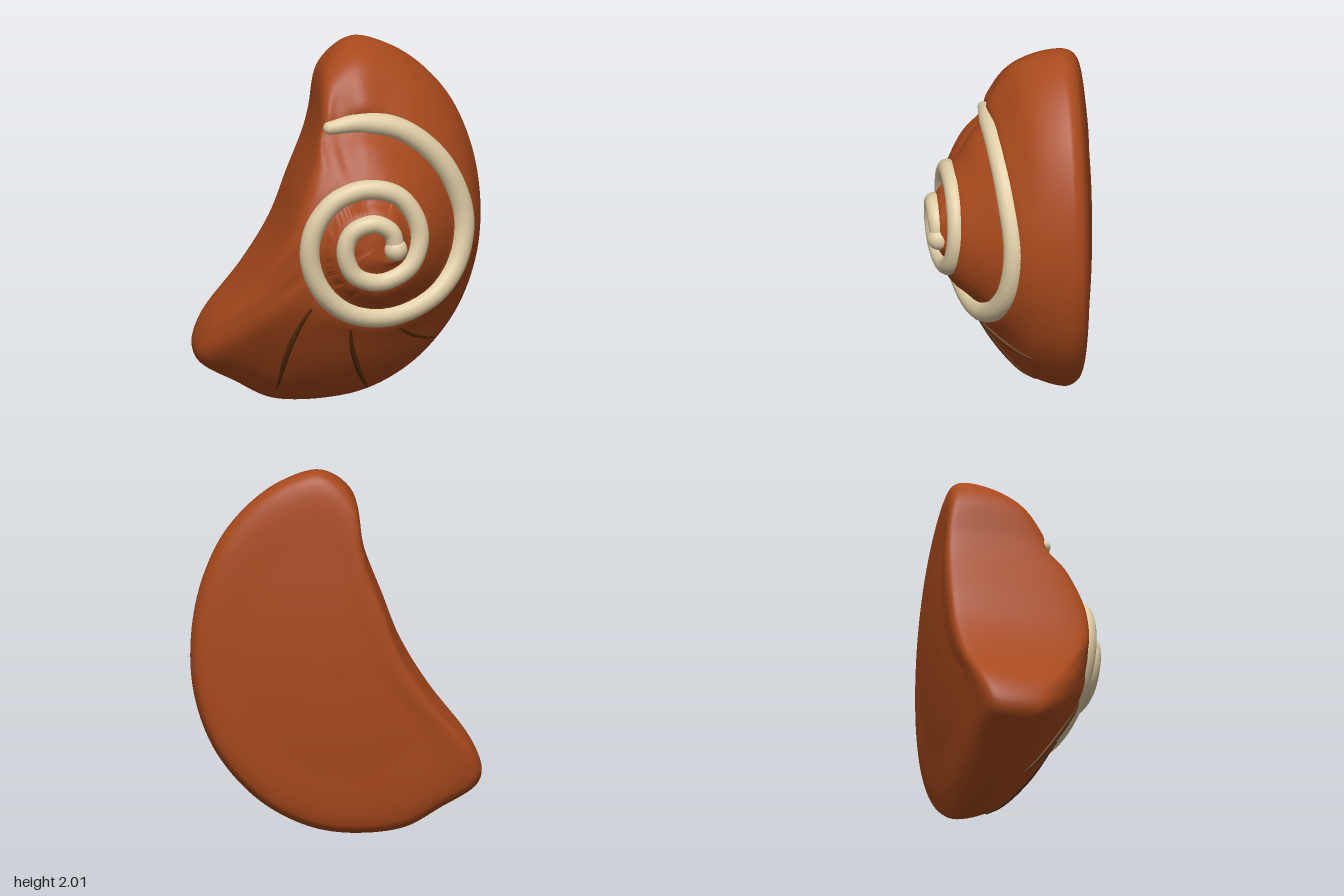
import * as THREE from 'three';
import { mergeVertices } from 'three/addons/utils/BufferGeometryUtils.js';

const V = (x, y, z) => new THREE.Vector3(x, y, z);
const mat = (name, color) => new THREE.MeshStandardMaterial({ name, color });

// Shell outline, clockwise from the top: x, y, then depth at 1/4, 1/2, 3/4, 0.92 of the way out and at the rim
const APEX = V(0.1, 0.98, 0.41);
const OUTLINE = [
  [0.07, 2.0, 0.335, 0.22, 0.1, -0.03, -0.22],
  [0.28, 1.95, 0.34, 0.21, 0.06, -0.07, -0.24],
  [0.47, 1.82, 0.345, 0.2, 0.05, -0.09, -0.26],
  [0.63, 1.62, 0.355, 0.2, 0.04, -0.1, -0.27],
  [0.74, 1.34, 0.365, 0.22, 0.04, -0.1, -0.28],
  [0.78, 1.03, 0.37, 0.24, 0.05, -0.1, -0.28],
  [0.75, 0.74, 0.37, 0.24, 0.05, -0.1, -0.28],
  [0.64, 0.46, 0.365, 0.23, 0.05, -0.1, -0.28],
  [0.44, 0.22, 0.355, 0.21, 0.05, -0.09, -0.27],
  [0.2, 0.07, 0.345, 0.2, 0.05, -0.09, -0.26],
  [-0.05, 0.01, 0.335, 0.2, 0.05, -0.1, -0.26],
  [-0.35, 0.03, 0.33, 0.21, 0.06, -0.08, -0.2],
  [-0.56, 0.14, 0.325, 0.235, 0.09, -0.04, -0.15],
  [-0.77, 0.28, 0.325, 0.255, 0.12, 0.0, -0.1],
  [-0.74, 0.47, 0.34, 0.28, 0.165, 0.05, -0.05],
  [-0.52, 0.74, 0.37, 0.32, 0.27, 0.2, 0.13],
  [-0.36, 0.99, 0.395, 0.36, 0.32, 0.3, 0.25],
  [-0.26, 1.25, 0.395, 0.355, 0.32, 0.29, 0.23],
  [-0.18, 1.46, 0.385, 0.33, 0.28, 0.24, 0.18],
  [-0.145, 1.6, 0.365, 0.31, 0.23, 0.15, 0.08],
  [-0.1, 1.85, 0.345, 0.24, 0.11, 0.05, -0.06],
];

// Gently domed back face
const backZ = (x, y) => -0.46 + 0.09 * (y - 1) ** 2 + 0.11 * (x + 0.2) ** 2;

// Raised spiral centreline, from the outer end to the centre
const SPIRAL = [
  [-0.1, 1.6, 0.115], [0.08, 1.62, 0.105], [0.3, 1.565, 0.085], [0.52, 1.37, 0.05], [0.64, 1.08, 0.02],
  [0.61, 0.84, 0.045], [0.5, 0.68, 0.1], [0.33, 0.585, 0.155], [0.15, 0.56, 0.2], [-0.03, 0.61, 0.245],
  [-0.17, 0.74, 0.285], [-0.237, 0.93, 0.31], [-0.21, 1.1, 0.32], [-0.1, 1.24, 0.32], [0.07, 1.3, 0.318],
  [0.24, 1.26, 0.31], [0.34, 1.13, 0.305], [0.36, 1.0, 0.31], [0.3, 0.865, 0.33], [0.14, 0.795, 0.355],
  [0.0, 0.84, 0.38], [-0.055, 0.97, 0.395], [-0.02, 1.08, 0.4], [0.1, 1.13, 0.405], [0.195, 1.08, 0.4], [0.22, 0.98, 0.39],
];
const spiralPath = new THREE.CatmullRomCurve3(SPIRAL.map(p => V(...p)));

// Draws the front surface to the spiral's depth, leaving rounded whorls between its turns
function seatSpiral(p, samples, strength) {
  let best = Infinity, z = 0;
  for (const s of samples) {
    const d = (s.x - p.x) ** 2 + (s.y - p.y) ** 2;
    if (d < best) { best = d; z = s.z; }
  }
  p.z += (z - p.z) * strength * Math.exp(-best / 0.005);
}

function shellGeometry() {
  const cols = 160, steps = 88, w = steps + 1;
  const profiles = OUTLINE.map(([x, y, ...z]) => {
    const at = (s, depth) => {
      const px = APEX.x + (x - APEX.x) * s, py = APEX.y + (y - APEX.y) * s;
      return V(px, py, depth ?? backZ(px, py));
    };
    return [
      APEX.clone(), at(0.08, 0.404), at(0.25, z[0]), at(0.5, z[1]), at(0.75, z[2]), at(0.92, z[3]), at(1, z[4]),
      at(1, backZ(x, y) + 0.045), at(0.95), at(0.6), at(0.3), at(0),
    ];
  });
  // Smooth each ring around the outline, then each profile from apex to back
  const rings = profiles[0].map((_, k) => new THREE.CatmullRomCurve3(profiles.map(p => p[k]), true, 'catmullrom', 0.5));
  const samples = spiralPath.getSpacedPoints(300);
  const pos = [], index = [];
  for (let i = 0; i < cols; i++) {
    const profile = new THREE.CatmullRomCurve3(rings.map(r => r.getPoint(i / cols)));
    for (let j = 0; j <= steps; j++) {
      const p = profile.getPoint(j / steps);
      const strength = THREE.MathUtils.clamp(6 - (j / steps) * 11, 0, 1);
      if (strength > 0) seatSpiral(p, samples, strength);
      pos.push(p.x, p.y, p.z);
    }
  }
  for (let i = 0; i < cols; i++) {
    for (let j = 0; j < steps; j++) {
      const a = i * w + j, b = ((i + 1) % cols) * w + j;
      if (j > 0) index.push(a, b, b + 1);
      if (j < steps - 1) index.push(a, b + 1, a + 1);
    }
  }
  const raw = new THREE.BufferGeometry();
  raw.setAttribute('position', new THREE.Float32BufferAttribute(pos, 3));
  raw.setIndex(index);
  const geo = mergeVertices(raw, 1e-4);
  geo.computeVertexNormals();
  return geo;
}

// Tube whose radius follows radiusAt(t)
function taperTube(curve, segs, sides, radiusAt) {
  const geo = new THREE.TubeGeometry(curve, segs, 1, sides);
  const p = geo.attributes.position, v = V(0, 0, 0);
  for (let i = 0; i <= segs; i++) {
    const c = curve.getPointAt(i / segs), r = radiusAt(i / segs);
    for (let j = 0; j <= sides; j++) {
      const n = i * (sides + 1) + j;
      v.fromBufferAttribute(p, n).sub(c).multiplyScalar(r).add(c);
      p.setXYZ(n, v.x, v.y, v.z);
    }
  }
  return geo;
}

const GROWTH_LINES = [
  [[-0.22, 0.64], [-0.28, 0.52], [-0.33, 0.35], [-0.36, 0.12]],
  [[0.0, 0.5], [0.02, 0.38], [0.07, 0.23], [0.14, 0.09]],
  [[0.27, 0.49], [0.34, 0.44], [0.42, 0.4], [0.5, 0.37]],
];

export function createModel() {
  const group = new THREE.Group();
  const rust = mat('rust brown', 0xa8491c);
  const cream = mat('cream', 0xe0cda6);
  const dark = mat('dark brown', 0x5a2d08);
  const add = (name, geo, material) => {
    const m = new THREE.Mesh(geo, material);
    m.name = name;
    group.add(m);
    return m;
  };

  const shell = add('shell', shellGeometry(), rust);

  // Spiral ridge, narrow at its outer end and slimming towards the centre
  const ridgeRadius = t => (t < 0.05 ? 0.036 + 0.026 * (t / 0.05) : 0.062 - 0.014 * (t - 0.05) / 0.95);
  add('spiralRidge', taperTube(spiralPath, 260, 16, ridgeRadius), cream);
  add('ridgeOuterTip', new THREE.SphereGeometry(0.036, 16, 12), cream).position.copy(spiralPath.getPoint(0));
  add('spiralKnob', new THREE.SphereGeometry(0.064, 24, 16), cream).position.copy(spiralPath.getPoint(1));

  // Thin curved growth lines following the lower front surface
  const ray = new THREE.Raycaster();
  const onShell = ({ x, y }) => {
    ray.set(V(x, y, 2), V(0, 0, -1));
    return V(x, y, ray.intersectObject(shell)[0].point.z + 0.003);
  };
  GROWTH_LINES.forEach((pts, i) => {
    const flat = new THREE.CatmullRomCurve3(pts.map(([x, y]) => V(x, y, 0)));
    const line = new THREE.CatmullRomCurve3(flat.getPoints(12).map(onShell));
    add('growthLine' + (i + 1), taperTube(line, 40, 8, t => 0.006 + 0.01 * Math.sin(Math.PI * t)), dark);
  });
  return group;
}
